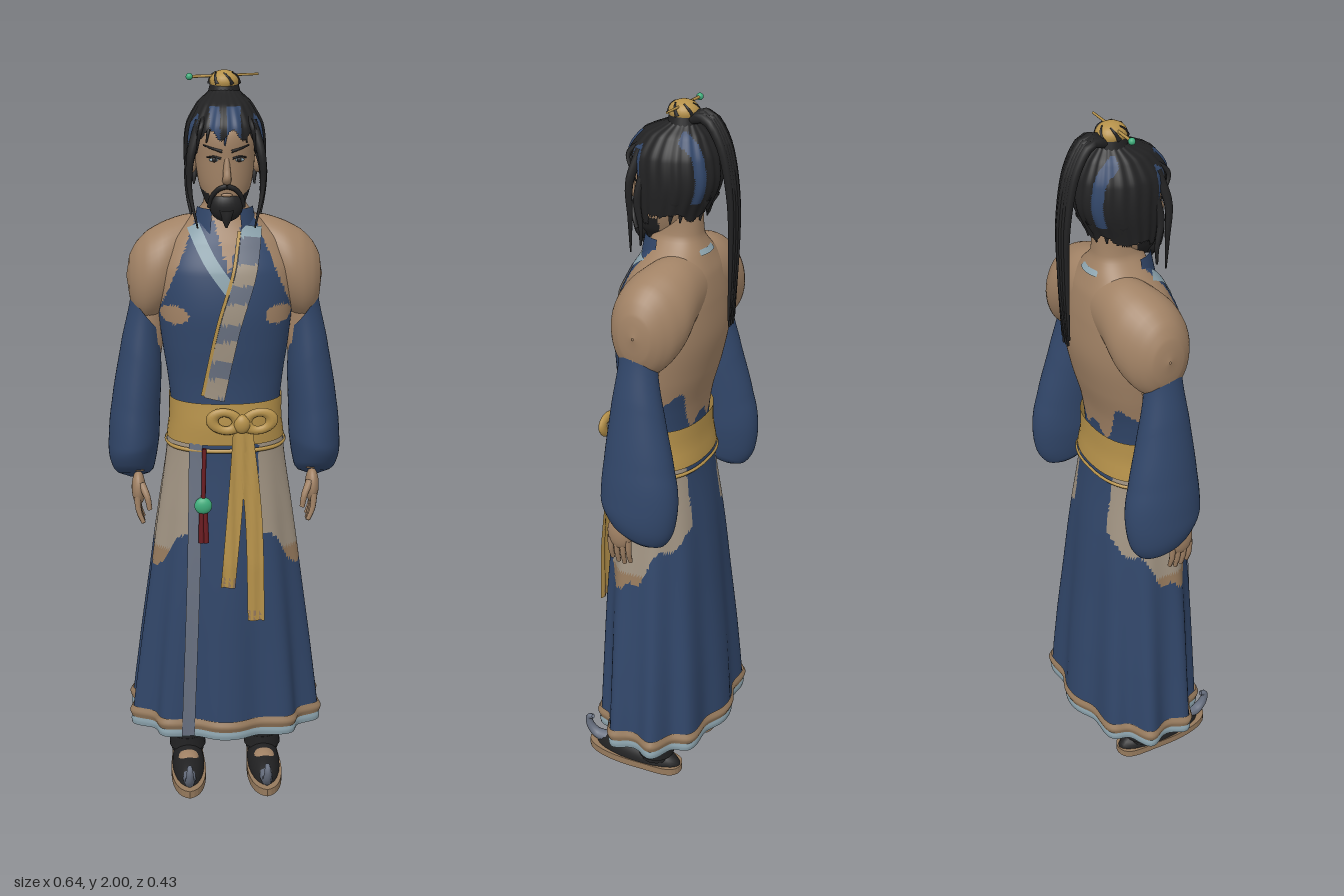
import * as THREE from 'three';

const mat = (name, color) => Object.assign(new THREE.MeshStandardMaterial({ color, side: THREE.DoubleSide }), { name });
const BLUE = mat('blue cloth', 0x314669), SKIN = mat('skin', 0xa18265), GOLD = mat('gold sash', 0xb5914a),
  TAUPE = mat('taupe cloth', 0xa09382), BLACK = mat('black hair', 0x212122), PALE = mat('pale blue trim', 0x8ba2ac),
  GREY = mat('grey trim', 0x687080), GREEN = mat('jade', 0x3fae7c), RED = mat('dark red cord', 0x6a1b20), TAN = mat('tan trim', 0x967a5d);

// Smooth interpolation of rows keyed by their first column
function at(rows, y) {
  let i = 0;
  while (i < rows.length - 2 && y > rows[i + 1][0]) i++;
  const r = k => rows[THREE.MathUtils.clamp(k, 0, rows.length - 1)];
  const t = (y - rows[i][0]) / (rows[i + 1][0] - rows[i][0]);
  return rows[0].map((_, c) => {
    const [a, b, d, e] = [r(i - 1)[c], r(i)[c], r(i + 1)[c], r(i + 2)[c]];
    return b + 0.5 * t * (d - a + t * (2 * a - 5 * b + 4 * d - e + t * (3 * (b - d) + e - a)));
  });
}
// Grid surface whose faces take the material returned by rule (null leaves a gap)
function surface(name, fn, nu, nv, rule, closed = true) {
  const pos = [], buckets = new Map(), w = closed ? nu : nu + 1, pts = [];
  for (let j = 0; j <= nv; j++) for (let i = 0; i < w; i++) {
    const p = fn(i / nu, j / nv);
    pts.push(p);
    pos.push(p.x, p.y, p.z);
  }
  for (let j = 0; j < nv; j++) for (let i = 0; i < nu; i++) {
    const a = j * w + i, b = j * w + (i + 1) % w, c = b + w, d = a + w;
    for (const f of [[a, b, c], [a, c, d]]) {
      const mid = new THREE.Vector3();
      f.forEach(k => mid.addScaledVector(pts[k], 1 / 3));
      const m = rule(mid);
      if (!m) continue;
      if (!buckets.has(m)) buckets.set(m, []);
      buckets.get(m).push(...f);
    }
  }
  const g = new THREE.BufferGeometry(), index = [], mats = [...buckets.keys()];
  mats.forEach((m, k) => { g.addGroup(index.length, buckets.get(m).length, k); index.push(...buckets.get(m)); });
  g.setAttribute('position', new THREE.Float32BufferAttribute(pos, 3));
  g.setIndex(index);
  g.computeVertexNormals();
  return Object.assign(new THREE.Mesh(g, mats), { name });
}
// Stack of oval cross-sections [y, halfWidth, zFront, zBack, centreX, tiltX, tiltZ]; pw under 1 squares them
function loft(name, rows, rule, { nu = 48, nv = 24, pw = 1, side = 1, fold = () => 1 } = {}) {
  const y0 = rows[0][0], y1 = rows[rows.length - 1][0], e = v => Math.sign(v) * Math.abs(v) ** pw;
  return surface(name, (u, v) => {
    const t = u * Math.PI * 2, y = y0 + (y1 - y0) * v, [, a, zf, zb, cx = 0, tx = 0, tz = 0] = at(rows, y);
    const k = fold(t, y), dx = a * e(Math.sin(t)) * k, dz = (zf - zb) / 2 * e(Math.cos(t)) * k;
    return new THREE.Vector3(cx * side + dx, y + tx * side * dx + tz * dz, (zf + zb) / 2 + dz);
  }, nu, nv, typeof rule === 'function' ? rule : () => rule);
}
// Front depth of a loft at x, y
const frontZ = (rows, pw, lift, fold = () => 1) => (x, y) => {
  const [, a, zf, zb] = at(rows, y), q = Math.min(1, Math.abs(x / a)) ** (1 / pw);
  return (zf + zb) / 2 + (zf - zb) / 2 * (1 - q * q) ** (pw / 2) * fold(Math.asin(q), y) + lift;
};
// Flat band along [x, y] points, laid on a depth function
function ribbon(name, pts, width, zfn, rule) {
  const c = new THREE.CatmullRomCurve3(pts.map(([x, y]) => new THREE.Vector3(x, y, 0)));
  return surface(name, (u, v) => {
    const p = c.getPoint(v), t = c.getTangent(v), o = (u - 0.5) * width;
    p.x -= t.y * o; p.y += t.x * o;
    p.z = zfn(p.x, p.y);
    return p;
  }, 6, 40, typeof rule === 'function' ? rule : () => rule, false);
}
// Tapering tube
function strand(name, pts, r0, r1, m, n = 18) {
  const c = new THREE.CatmullRomCurve3(pts.map(p => new THREE.Vector3(...p)));
  const g = new THREE.TubeGeometry(c, n, 1, 8), P = g.attributes.position, v = new THREE.Vector3();
  for (let k = 0; k < P.count; k++) {
    const t = Math.floor(k / 9) / n, o = c.getPointAt(t);
    v.fromBufferAttribute(P, k).sub(o).multiplyScalar(r0 + (r1 - r0) * t).add(o);
    P.setXYZ(k, v.x, v.y, v.z);
  }
  return Object.assign(new THREE.Mesh(g, m), { name });
}
function solid(name, g, m, p, s = [1, 1, 1]) {
  const o = Object.assign(new THREE.Mesh(g, m), { name });
  o.position.set(...p); o.scale.set(...s);
  return o;
}
const ball = (name, m, p, s) => solid(name, new THREE.SphereGeometry(1, 24, 16), m, p, s);

const TORSO = [[1.0, .16, .108, -.118], [1.1, .147, .105, -.103], [1.2, .155, .105, -.112], [1.3, .17, .112, -.138], [1.4, .18, .115, -.156],
  [1.5, .18, .1, -.152], [1.57, .148, .068, -.14], [1.62, .092, .04, -.12], [1.66, .056, .028, -.103], [1.76, .05, .025, -.1]];
// Shoulder yoke: [distance from middle, top, bottom, zFront, zBack]
const YOKE = [[0, 1.622, 1.45, 0, -.14], [.1, 1.624, 1.42, .02, -.147], [.16, 1.608, 1.37, .05, -.149], [.205, 1.585, 1.345, .049, -.132],
  [.235, 1.555, 1.36, .03, -.108], [.253, 1.52, 1.4, .002, -.084], [.262, 1.468, 1.462, -.04, -.046]];
const SKIRT = [[.165, .264, .143, -.193], [.4, .241, .14, -.18], [.6, .216, .136, -.163], [.8, .19, .125, -.145], [1.04, .157, .11, -.118]];
const HEAD = [[1.64, .028, .055, -.01], [1.67, .052, .073, -.06], [1.72, .069, .079, -.09], [1.78, .077, .081, -.11], [1.85, .079, .081, -.12], [1.91, .055, .045, -.1]];
const HAIR = [[1.64, .088, .05, -.1], [1.72, .1, .07, -.115], [1.8, .106, .088, -.146], [1.87, .098, .092, -.142], [1.92, .07, .055, -.118], [1.955, .034, -.015, -.085]];
const SLEEVE = [[.89, .012, -.035, -.065, .252, 0, .35], [.905, .05, .025, -.12, .252, 0, .35], [.95, .065, .05, -.15, .254, 0, .25], [1.01, .07, .057, -.16, .25, 0, 0],
  [1.1, .066, .05, -.146, .243, .2, 0], [1.25, .053, .035, -.11, .225, .8, 0], [1.37, .038, .02, -.085, .213, 1.3, 0]];

export function createModel() {
  const G = new THREE.Group(), add = (...o) => G.add(...o);

  // Body: bare back and shoulders, blue bib in front
  add(loft('torso', TORSO, ({ x, y, z }) => {
    const ax = Math.abs(x);
    if (y > 1.63) return SKIN;
    if (z > 0) {
      if (y > 1.5 && Math.abs(x - .005) < (y - 1.5) * .3) return SKIN;
      if (((ax - .137) / .037) ** 2 + ((y - 1.385) / .025) ** 2 < 1) return SKIN;
      return ax < .08 + (1.62 - y) * .42 ? BLUE : SKIN;
    }
    return y > 1.13 + .85 * ax + .035 * Math.sin(60 * ax + 1.5) ? SKIN : BLUE;
  }, { nu: 112, nv: 90, pw: .88 }));
  add(surface('shoulders', (u, v) => {
    const x = Math.sin((v - .5) * Math.PI) * .262, [, top, bottom, zf, zb] = at(YOKE, Math.abs(x)), t = u * Math.PI * 2;
    return new THREE.Vector3(x, (top + bottom) / 2 + (top - bottom) / 2 * Math.cos(t), (zf + zb) / 2 + (zf - zb) / 2 * Math.sin(t));
  }, 40, 60, () => SKIN));

  // Robe skirt with worn sides and a trimmed hem
  const fold = (t, y) => 1 + .07 * (1.04 - y) * Math.cos(10 * t);
  add(loft('skirt', SKIRT, ({ x, y, z }) => {
    const low = .655 + 1.25 * Math.abs(z - .03) + .022 * Math.sin(75 * z);
    if (Math.abs(x) < .085 || z > .116 || y < low) return BLUE;
    return y < .72 ? TAN : TAUPE;
  }, { nu: 140, nv: 70, pw: .88, fold }));
  const hem = (name, y0, y1, out, m) => add(loft(name, [y0, (y0 + y1) / 2, y1].map((y, k) => {
    const [, a, f, b] = at(SKIRT, Math.max(y, .165)), o = out * (k === 1 ? 1 : .4);
    return [y, a + o, f + o, b - o];
  }), m, { nu: 140, nv: 6, pw: .88, fold }));
  hem('hemTrim', .187, .22, .01, TAN);
  hem('hemLining', .162, .188, .004, PALE);
  add(ribbon('skirtEdge', [[-.083, 1.08], [-.092, .7], [-.112, .17]], .036, frontZ(SKIRT, .88, .011, fold), GREY));

  // Crossed collar
  const chest = frontZ(TORSO, .88, .003), chestHigh = frontZ(TORSO, .88, .005);
  add(ribbon('collarUnder', [[-.085, 1.61], [-.045, 1.53], [.012, 1.45]], .034, chest, PALE));
  add(ribbon('collarOver', [[.068, 1.61], [.05, 1.5], [.008, 1.36], [-.035, 1.16]], .055, chestHigh,
    p => p.y > 1.585 ? PALE : p.y > 1.52 || Math.sin(p.y * 62) > .1 ? GREY : TAUPE));
  add(ribbon('collarPiping', [[.034, 1.6], [.016, 1.5], [-.023, 1.37], [-.065, 1.17]], .009, chestHigh, GOLD));
  for (const s of [-1, 1]) add(solid('standingCollar', new THREE.CylinderGeometry(.074, .094, .1, 12, 1, true, s > 0 ? .5 : -1.4, .9), BLUE, [0, 1.605, -.025]));
  add(solid('napeTrim', new THREE.CylinderGeometry(.075, .085, .012, 12, 1, true, Math.PI - .45, .9), PALE, [0, 1.625, -.042]));

  // Sash, bow and hanging ends
  add(loft('sash', [[1.035, .16, .121, -.126], [1.09, .153, .122, -.118], [1.15, .153, .116, -.116]], GOLD, { pw: .86, nv: 6 }));
  add(loft('sashCord', [[1.012, .162, .117, -.125], [1.018, .166, .122, -.13], [1.024, .162, .117, -.125]], GOLD, { pw: .84, nv: 4 }));
  for (const s of [-1, 1]) {
    const loop = solid('bowLoop', new THREE.TorusGeometry(.026, .0125, 8, 24), GOLD, [.038 + s * .045, 1.106, .13], [1.35, .95, .8]);
    loop.rotation.z = s * .2;
    add(loop);
  }
  add(ball('bowKnot', GOLD, [.038, 1.1, .134], [.022, .026, .016]));
  const hang = (x, y) => .13 + .025 * Math.min(1, (1.1 - y) / .4) + .003 * Math.sin(x * 200);
  for (const [x, y, w] of [[0, .635, .04], [.078, .535, .046]])
    add(ribbon('sashEnd', [[.035 + x * .1, 1.09], [.018 + x * .65, .85], [x, y]], w, hang, p => p.y < y + .03 && Math.sin(p.x * 450) > .7 ? TAN : GOLD));

  // Jade pendant on a red cord
  add(strand('cord', [[-.062, 1.03, .126], [-.064, .95, .131], [-.066, .87, .134]], .006, .006, RED));
  add(ball('jadeBead', GREEN, [-.066, .87, .134], [.024, .024, .014]));
  for (const d of [-.005, .005]) add(strand('tassel', [[-.066 + d, .85, .135], [-.065 + d * 1.3, .765, .14]], .007, .008, RED, 4));

  for (const s of [-1, 1]) {
    // Arms and sleeves
    add(strand('upperArm', [[s * .2, 1.44, -.04], [s * .208, 1.32, -.035], [s * .225, 1.15, -.03], [s * .242, .93, .005]], .054, .022, SKIN));
    add(loft('sleeve', SLEEVE, BLUE, { side: s, nv: 40 }));
    // Hands
    add(ball('palm', SKIN, [s * .24, .88, .014], [.019, .05, .036]));
    for (let k = 0; k < 4; k++) {
      const z = -.014 + k * .018, tip = .775 + Math.abs(k - 1.4) * .008;
      add(strand('finger', [[s * .244, .865, z], [s * .24, .82, z + .002], [s * .228, tip, z + .003]], .0095, .006, SKIN, 6));
    }
    add(strand('thumb', [[s * .232, .9, .035], [s * .216, .865, .052], [s * .21, .83, .053]], .011, .007, SKIN, 6));

    // Legs and curled shoes
    const X = s * .11;
    add(solid('leg', new THREE.CylinderGeometry(.065, .047, .55, 24), BLACK, [X, .315, -.025]));
    add(solid('ankleWrap', new THREE.CylinderGeometry(.05, .053, .04, 24), BLACK, [X, .075, -.025]));
    const o = new THREE.Shape();
    o.moveTo(0, -.2);
    o.bezierCurveTo(.045, -.19, .055, -.1, .048, -.02);
    o.bezierCurveTo(.042, .05, .05, .105, 0, .107);
    o.bezierCurveTo(-.05, .105, -.042, .05, -.048, -.02);
    o.bezierCurveTo(-.055, -.1, -.045, -.19, 0, -.2);
    const sole = solid('sole', new THREE.ExtrudeGeometry(o, { depth: .022, bevelEnabled: false, curveSegments: 10 }), TAN, [X, .004, 0]);
    sole.rotation.x = -Math.PI / 2;
    add(sole);
    add(solid('shoeUpper', new THREE.SphereGeometry(1, 24, 10, 0, Math.PI * 2, 0, Math.PI / 2), BLACK, [X, .02, .035], [.047, .055, .14]));
    add(ball('instep', SKIN, [X, .052, .06], [.032, .023, .05]));
    add(strand('toeCurl', [[X, .04, .14], [X, .044, .178], [X, .066, .2], [X, .095, .205], [X, .1, .19]], .02, .007, GREY));
  }

  // Head and face
  const face = frontZ(HEAD, 1, .003);
  add(loft('head', HEAD, ({ x, y, z }) => z > -.01 && y < 1.683 + .55 * Math.max(0, Math.abs(x) - .02) ? BLACK : SKIN, { nu: 64, nv: 50 }));
  add(strand('nose', [[0, 1.79, .076], [0, 1.762, .084], [0, 1.742, .089], [0, 1.735, .08]], .007, .012, SKIN));
  add(ball('beard', BLACK, [0, 1.668, .055], [.044, .042, .029]));
  add(strand('beardTip', [[0, 1.66, .068], [0, 1.635, .068], [0, 1.612, .064]], .024, .003, BLACK, 6));
  add(ball('mouth', SKIN, [0, 1.699, .082], [.015, .005, .004]));
  for (const s of [-1, 1]) {
    add(ball('eyeWhite', PALE, [s * .032, 1.788, face(.032, 1.788) - .001], [.013, .005, .004]));
    add(ball('pupil', BLACK, [s * .032, 1.788, face(.032, 1.788) + .002], [.006, .006, .003]));
    add(strand('upperLid', [.015, .032, .05].map((x, k) => [s * x, 1.792 + (k === 1) * .004, face(x, 1.792)]), .003, .002, BLACK, 8));
    add(strand('eyebrow', [.012, .035, .058].map((x, k) => [s * x, 1.81 + k * .006, face(x, 1.81)]), .004, .002, BLACK, 8));
    add(strand('moustache', [[0, 1.722, .086], [s * .02, 1.715, .083], [s * .04, 1.69, .07], [s * .045, 1.665, .06]], .007, .005, BLACK, 8));
    add(ball('ear', SKIN, [s * .085, 1.77, -.025], [.014, .03, .02]));
  }

  // Hair: ribbed cap, front locks, bun and ponytail
  add(loft('hairCap', HAIR, ({ x, y, z }) => {
    const ax = Math.abs(x);
    if (z > .015 && ax < .088 && y < 1.85 + .014 * Math.sin(110 * x)) return null;
    if (y < 1.722 + .012 * Math.sin(90 * x) && z < 0) return null;
    if (y < 1.7) return null;
    if (z > .02 && y < 1.92 && (Math.abs(x - .018) < .018 || Math.abs(x + .03) < .013)) return BLUE;
    if (z > .025 && z < .05 && ax > .07 && y > 1.8) return BLUE;
    return z < -.07 && ax > .045 && ax < .07 && y > 1.76 ? BLUE : BLACK;
  }, { nu: 132, nv: 60, fold: t => 1 + .018 * Math.cos(22 * t) }));
  for (const s of [-1, 1]) {
    add(strand('frontLock', [[s * .064, 1.88, .035], [s * .09, 1.8, .055], [s * .094, 1.71, .052], [s * .074, 1.61, .062]], .015, .002, BLACK));
    add(strand('sideLock', [[s * .078, 1.84, .015], [s * .096, 1.76, .03], [s * .097, 1.69, .02], [s * .09, 1.64, .025]], .016, .003, BLACK));
    for (const [x, y] of [[.045, 1.83], [.066, 1.8]])
      add(strand('fringeLock', [[s * x * .8, 1.895, .035], [s * x, 1.865, .07], [s * x * 1.15, y, face(x, y) + .004]], .009, .002, BLACK));
    for (let k = 0; k < 4; k++)
      add(strand('napeLock', [[s * (.025 + k * .02), 1.77, -.122 + k * .018], [s * (.022 + k * .019), 1.735, -.11 + k * .018], [s * (.02 + k * .02), 1.705, -.106 + k * .018]], .016, .002, BLACK, 10));
  }
  add(strand('middleLock', [[.006, 1.9, .05], [0, 1.865, .08], [-.006, 1.825, .087]], .008, .002, BLUE));
  add(solid('bunBase', new THREE.CylinderGeometry(.036, .045, .035, 24), BLACK, [0, 1.95, -.05]));
  add(ball('bunCap', GOLD, [0, 1.97, -.05], [.038, .029, .04]));
  for (let k = 0; k < 6; k++) {
    const a = k * Math.PI / 3, q = (d, r, y) => [Math.cos(a + d) * r, y, -.05 + Math.sin(a + d) * r];
    add(strand('bunWrap', [q(0, .038, 1.965), q(.3, .033, 1.984), q(.6, .024, 1.993)], .006, .002, BLACK, 6));
  }
  add(strand('hairpin', [[-.09, 1.982, -.048], [.088, 1.988, -.048]], .004, .003, GOLD, 4));
  add(ball('pinBead', GREEN, [-.09, 1.982, -.048], [.009, .009, .009]));
  for (let k = -3; k <= 3; k++) {
    const x = k * .0062, d = Math.abs(k) * .003, end = 1.43 + (k * k % 4) * .018;
    add(strand('ponytail', [[x * .7, 1.955, -.07], [x, 1.972 - d, -.115], [x * 1.1, 1.91, -.165 + d], [x * 1.1, 1.78, -.195 + d], [x, 1.62, -.2 + d], [x * .9, end, -.188]], .014, .003, BLACK, 28));
  }
  return G;
}
